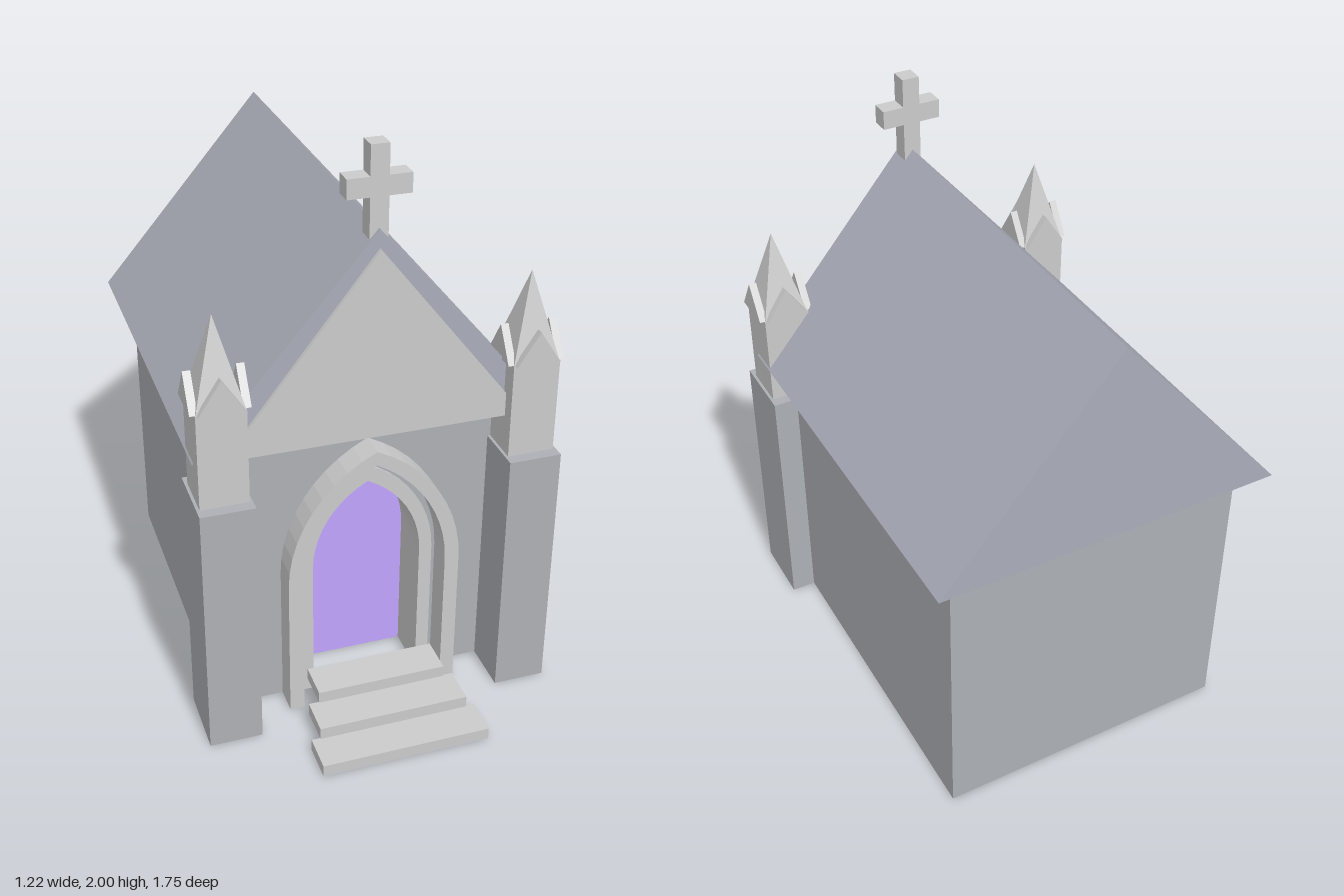
import * as THREE from 'three';

const mat = (color) => new THREE.MeshStandardMaterial({ color, flatShading: true });

export function createModel() {
  const model = new THREE.Group();
  const stone = mat(0xcccccc), wall = mat(0xadb0b5), slate = mat(0xaaadb9), violet = mat(0xc0a4ff);

  const add = (name, geometry, material, parent = model) => {
    const mesh = new THREE.Mesh(geometry, material);
    mesh.name = name;
    parent.add(mesh);
    return mesh;
  };
  // Box given by its limits on each axis
  const box = (name, [x0, x1], [y0, y1], [z0, z1], material, parent) => {
    const mesh = add(name, new THREE.BoxGeometry(x1 - x0, y1 - y0, z1 - z0), material, parent);
    mesh.position.set((x0 + x1) / 2, (y0 + y1) / 2, (z0 + z1) / 2);
    return mesh;
  };
  // Outline in x and y, extruded from z0 to z1
  const slab = (name, points, z0, z1, material, parent) => {
    const geometry = new THREE.ExtrudeGeometry(new THREE.Shape(points), { depth: z1 - z0, bevelEnabled: false });
    geometry.translate(0, 0, z0);
    return add(name, geometry, material, parent);
  };
  const triangle = (half, base, apex) =>
    [[-half, base], [half, base], [0, apex]].map(([x, y]) => new THREE.Vector2(x, y));

  // Pointed arch from bottom right, over the apex, to bottom left
  const arch = (half, apex, spring = 0.51, steps = 10) => {
    const h = apex - spring;
    const c = (h * h - half * half) / (2 * half);
    const r = half + c;
    const end = Math.asin(h / r);
    const right = [new THREE.Vector2(half, 0)];
    for (let i = 0; i <= steps; i++) {
      const a = (end * i) / steps;
      right.push(new THREE.Vector2(i === steps ? 0 : r * Math.cos(a) - c, spring + r * Math.sin(a)));
    }
    const left = right.slice(0, -1).reverse().map((p) => new THREE.Vector2(-p.x, p.y));
    return [...right, ...left];
  };
  const archRing = (outer, inner) => [...outer, ...inner.slice().reverse()];

  // Nave, with a front wall notched for the doorway
  box('nave', [-0.52, 0.52], [0, 1.04], [-0.79, 0.25], wall);
  const opening = arch(0.235, 0.88);
  const corners = [[-0.52, 0], [-0.52, 1.04], [0.52, 1.04], [0.52, 0]].map(([x, y]) => new THREE.Vector2(x, y));
  slab('frontWall', [...corners, ...opening], 0.25, 0.445, wall);

  // Roof and front gable
  slab('roof', triangle(0.6, 1.04, 1.74), -0.875, 0.53, slate);
  slab('gable', triangle(0.5, 1.04, 1.68), 0.5, 0.545, stone);

  // Doorway
  slab('outerArch', archRing(arch(0.3, 0.98), arch(0.25, 0.93)), 0.44, 0.54, stone);
  slab('innerArch', archRing(opening, arch(0.19, 0.82)), 0.28, 0.455, stone);
  slab('door', arch(0.23, 0.87), 0.25, 0.28, violet);

  // Steps
  [[0.29, 0.75, 0.88], [0.26, 0.625, 0.755], [0.225, 0.5, 0.63]].forEach(([half, z0, z1], i) =>
    box('step', [-half, half], [i * 0.042, (i + 1) * 0.042], [z0, z1], stone));

  // Cross on the ridge
  const cross = new THREE.Group();
  cross.name = 'roofCross';
  model.add(cross);
  box('crossPost', [-0.03, 0.03], [1.7, 2], [0.455, 0.518], stone, cross);
  for (const s of [-1, 1]) {
    const [a, b] = [s * 0.03, s * 0.103].sort((p, q) => p - q);
    box('crossArm', [a, b], [1.838, 1.902], [0.455, 0.518], stone, cross);
  }

  // Corner buttresses with pinnacles
  for (const side of [-1, 1]) {
    const tower = new THREE.Group();
    tower.name = side > 0 ? 'leftButtress' : 'rightButtress';
    tower.position.set(side * 0.515, 0, 0.507);
    model.add(tower);
    box('buttressBase', [-0.09, 0.09], [0, 0.91], [-0.12, 0.123], wall, tower);
    box('buttressShaft', [-0.08, 0.08], [0.91, 1.24], [-0.082, 0.082], stone, tower);
    const spire = add('spire', new THREE.ConeGeometry(0.078 * Math.SQRT2, 0.29, 4), stone, tower);
    spire.rotation.y = Math.PI / 4;
    spire.position.y = 1.385;
    for (let i = 0; i < 4; i++) {
      const gablet = slab('gablet', triangle(0.075, 1.24, 1.355), 0.07, 0.096, stone, tower);
      gablet.rotation.y = (i * Math.PI) / 2;
    }
  }
  return model;
}
